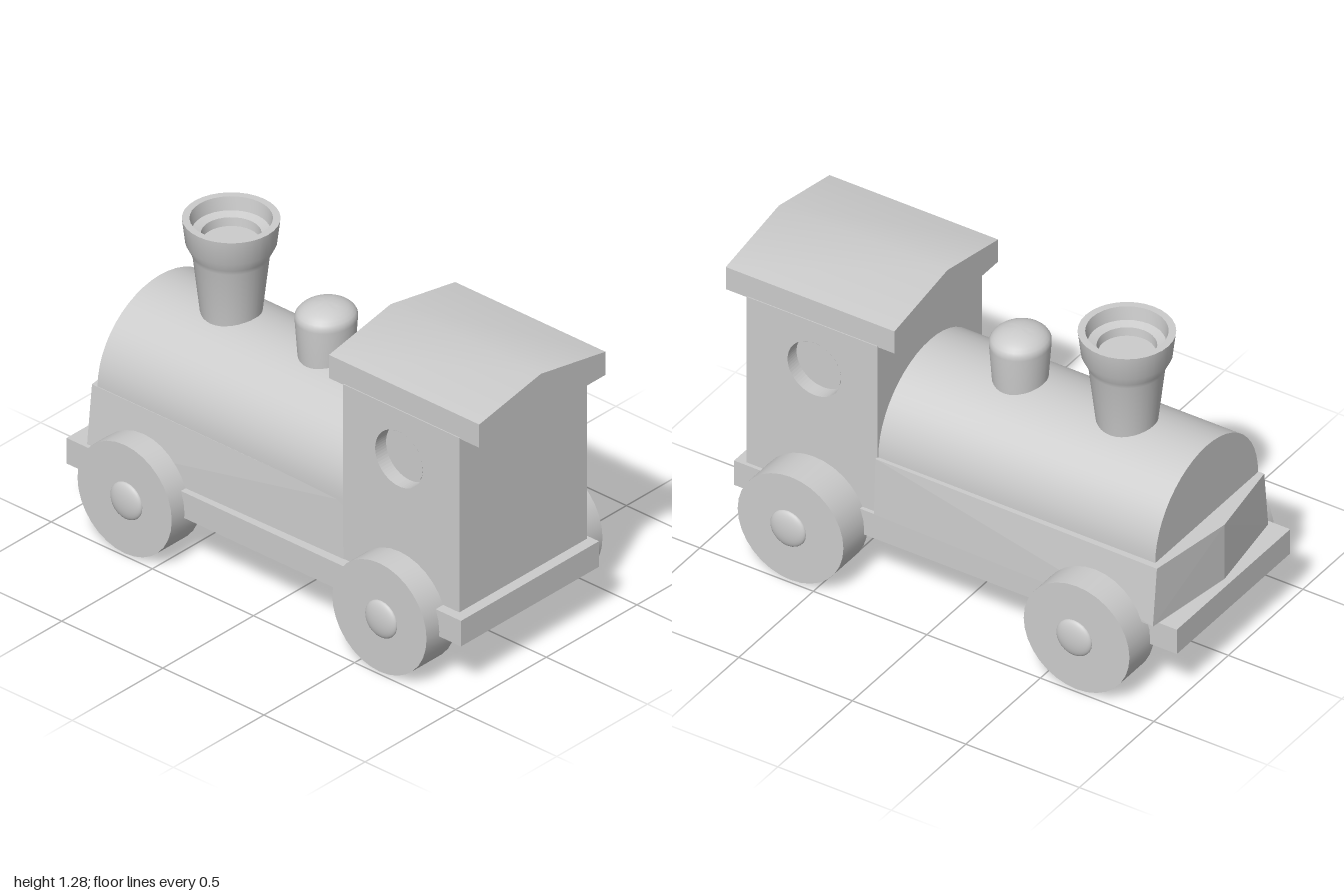
import * as THREE from 'three';
import { toCreasedNormals } from 'three/addons/utils/BufferGeometryUtils.js';
import { ConvexGeometry } from 'three/addons/geometries/ConvexGeometry.js';

const MID = 0.022; // z of the body's centre line
const CAB_HALF = 0.352;

export function createModel() {
  const group = new THREE.Group();
  const material = new THREE.MeshStandardMaterial({ color: 0xcccccc });

  const add = (name, geometry, x = 0, y = 0, z = 0) => {
    const mesh = new THREE.Mesh(geometry, material);
    mesh.name = name;
    mesh.position.set(x, y, z);
    group.add(mesh);
    return mesh;
  };
  // Box given by its limits on each axis
  const box = (name, x0, x1, y0, y1, z0, z1) =>
    add(name, new THREE.BoxGeometry(x1 - x0, y1 - y0, z1 - z0), (x0 + x1) / 2, (y0 + y1) / 2, (z0 + z1) / 2);
  // Cross-section of [z, y] points, swept along x
  const sweepX = (name, points, x0, x1) => {
    const shape = new THREE.Shape(points.map(([z, y]) => new THREE.Vector2(-z, y)));
    const geometry = new THREE.ExtrudeGeometry(shape, { depth: x1 - x0, bevelEnabled: false });
    geometry.rotateY(Math.PI / 2);
    return add(name, toCreasedNormals(geometry, 0.5), x0, 0, MID);
  };
  const lathe = (points, segments = 32, crease = 0.6) =>
    toCreasedNormals(new THREE.LatheGeometry(points.map(([r, y]) => new THREE.Vector2(r, y)), segments), crease);

  // Chassis
  box('base', -1, 0.95, 0.215, 0.325, -0.346, 0.415);

  // Boiler with arched top
  const arch = [[0.345, 0.325]];
  for (let i = 0; i <= 24; i++) {
    const a = (i / 24) * Math.PI;
    arch.push([0.345 * Math.cos(a), 0.57 + 0.325 * Math.sin(a)]);
  }
  arch.push([-0.345, 0.325]);
  sweepX('boiler', arch, -0.89, 0.335);

  // Flared skirt around the boiler, pointed at its nose
  const skirt = [];
  for (const [y, front, back] of [[0.325, 0.387, 0.362], [0.57, 0.36, 0.352]]) {
    for (const side of [-1, 1]) {
      skirt.push(new THREE.Vector3(-0.915, y, 0.01 + side * front));
      skirt.push(new THREE.Vector3(0.333, y, 0.014 + side * back));
    }
    skirt.push(new THREE.Vector3(-0.97, y, 0.02));
  }
  add('skirt', new ConvexGeometry(skirt));

  // Cab: narrow core, side walls with round recessed windows
  const depth = 0.06;
  box('cabCore', 0.33, 0.905, 0.325, 1.075, MID - CAB_HALF + depth, MID + CAB_HALF - depth);
  const wall = new THREE.Shape();
  wall.moveTo(0.33, 0.325).lineTo(0.905, 0.325).lineTo(0.905, 1.075).lineTo(0.33, 1.075).closePath();
  wall.holes.push(new THREE.Path().absarc(0.607, 0.865, 0.118, 0, Math.PI * 2, true));
  const wallGeometry = new THREE.ExtrudeGeometry(wall, { depth, bevelEnabled: false, curveSegments: 32 });
  const windowGeometry = lathe([[0.118, 0], [0.11, -0.012], [0.1, -0.045], [0.09, -0.054], [0, -0.054]].reverse(), 32, 1);
  windowGeometry.rotateX(Math.PI / 2);
  for (const side of [1, -1]) {
    const z = MID + side * CAB_HALF;
    add('cabSide', wallGeometry, 0, 0, side > 0 ? z - depth : z);
    const pane = add('cabWindow', windowGeometry, 0.607, 0.865, z);
    if (side < 0) pane.rotation.y = Math.PI;
  }

  // Gabled roof
  sweepX('roof', [[0.348, 1.07], [0.348, 1.17], [0.008, 1.235], [-0.348, 1.17], [-0.348, 1.07]], 0.257, 1);

  // Chimney with a stepped, open mouth
  add('chimney', lathe([
    [0.112, 0.85], [0.143, 1.12], [0.15, 1.14], [0.17, 1.18], [0.182, 1.28],
    [0.154, 1.28], [0.145, 1.225], [0.112, 1.215], [0.108, 1.18], [0, 1.18],
  ]), -0.54, 0, 0.02);

  // Steam dome
  const dome = [[0.1, 0.85], [0.113, 1.04]];
  for (let i = 1; i <= 8; i++) {
    const a = (i / 8) * (Math.PI / 2);
    dome.push([i === 8 ? 0 : 0.115 * Math.cos(a), 1.045 + 0.065 * Math.sin(a)]);
  }
  add('steamDome', lathe(dome), -0.07, 0, 0.02).scale.z = 1.08;

  // Wheels with domed hub caps
  const wheelGeometry = toCreasedNormals(new THREE.CylinderGeometry(0.233, 0.233, 0.163, 32), 0.6);
  wheelGeometry.rotateX(Math.PI / 2);
  const hubGeometry = new THREE.SphereGeometry(0.078, 24, 12, 0, Math.PI * 2, 0, Math.PI / 2);
  hubGeometry.rotateX(Math.PI / 2).scale(1, 1, 0.32);
  for (const x of [-0.65, 0.61]) {
    for (const side of [1, -1]) {
      add('wheel', wheelGeometry, x, 0.235, side * 0.404);
      const hub = add('hubCap', hubGeometry, x + 0.01, 0.232, side * 0.485);
      if (side < 0) hub.rotation.y = Math.PI;
    }
  }

  return group;
}
